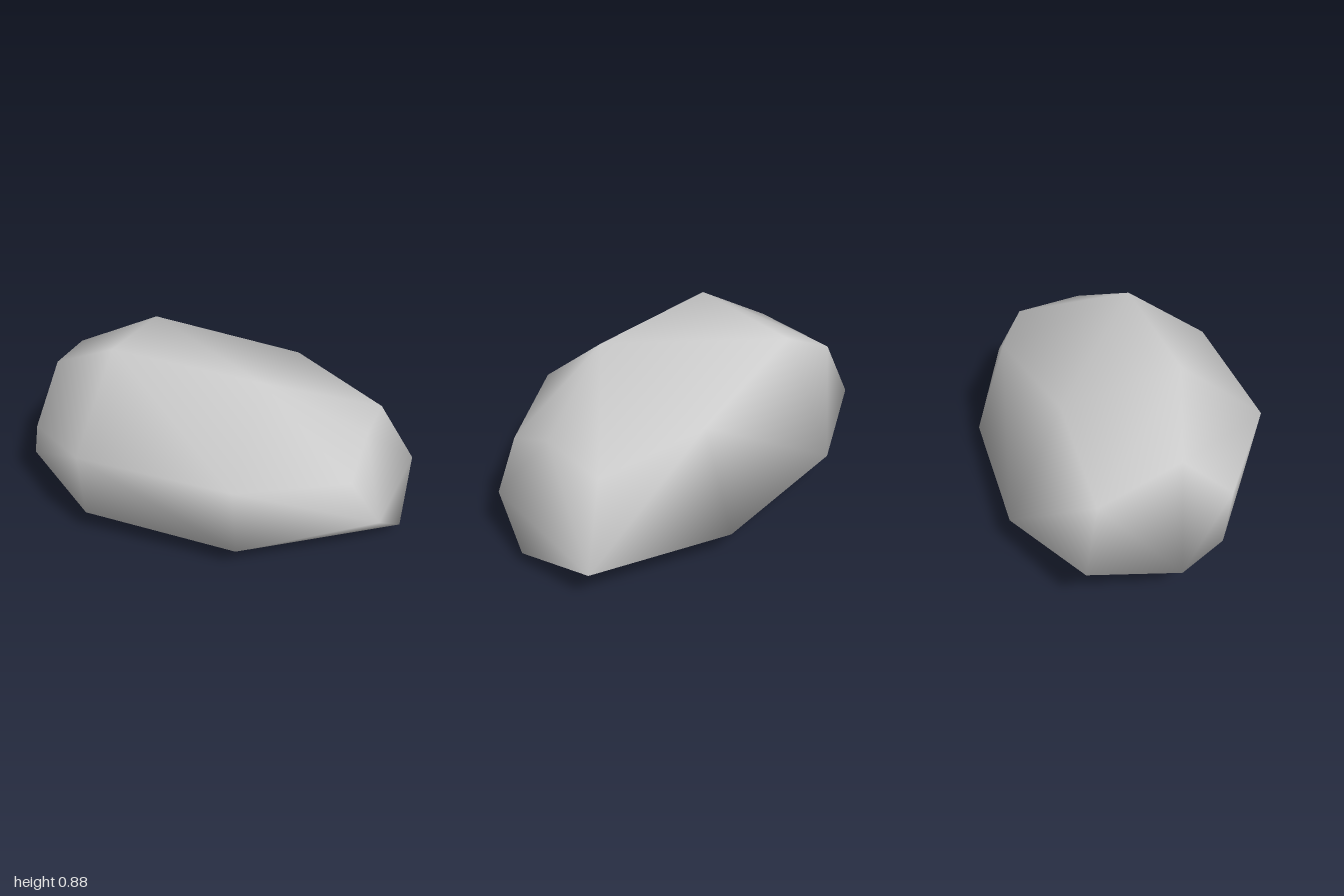
import * as THREE from 'three';
import { ConvexGeometry } from 'three/addons/geometries/ConvexGeometry.js';
import { mergeVertices } from 'three/addons/utils/BufferGeometryUtils.js';

export function createModel() {
  const group = new THREE.Group();
  group.name = 'boulder';
  const stone = new THREE.MeshStandardMaterial({ color: 0xcccccc });
  stone.name = 'stone grey';

  // Four six-sided rings along x: top, front, lower front, bottom, back, upper back
  const rings = [
    [[-0.82, 0.67, 0.09], [-0.83, 0.43, 0.34], [-0.9, 0.21, 0.28],
      [-1, 0.175, 0.05], [-0.99, 0.29, -0.39], [-0.89, 0.57, -0.31]],
    [[-0.44, 0.88, 0.21], [-0.45, 0.53, 0.635], [-0.47, 0.14, 0.565],
      [-0.49, 0, 0.18], [-0.48, 0.19, -0.625], [-0.45, 0.78, -0.35]],
    [[0.31, 0.84, 0.2], [0.31, 0.52, 0.63], [0.31, 0.12, 0.565],
      [0.3, 0.01, 0.18], [0.31, 0.135, -0.64], [0.31, 0.64, -0.47]],
    [[0.79, 0.57, 0.05], [0.78, 0.47, 0.32], [0.925, 0.25, 0.285],
      [1, 0.06, 0.04], [0.98, 0.165, -0.4], [0.8, 0.52, -0.29]],
  ];
  const points = rings.flat().map((p) => new THREE.Vector3(...p));

  // Faceted outline with shared corners, so the shading is smooth
  const hull = new ConvexGeometry(points);
  hull.deleteAttribute('normal');
  const geometry = mergeVertices(hull);
  geometry.computeVertexNormals();

  const rock = new THREE.Mesh(geometry, stone);
  rock.name = 'rock';
  group.add(rock);
  return group;
}
